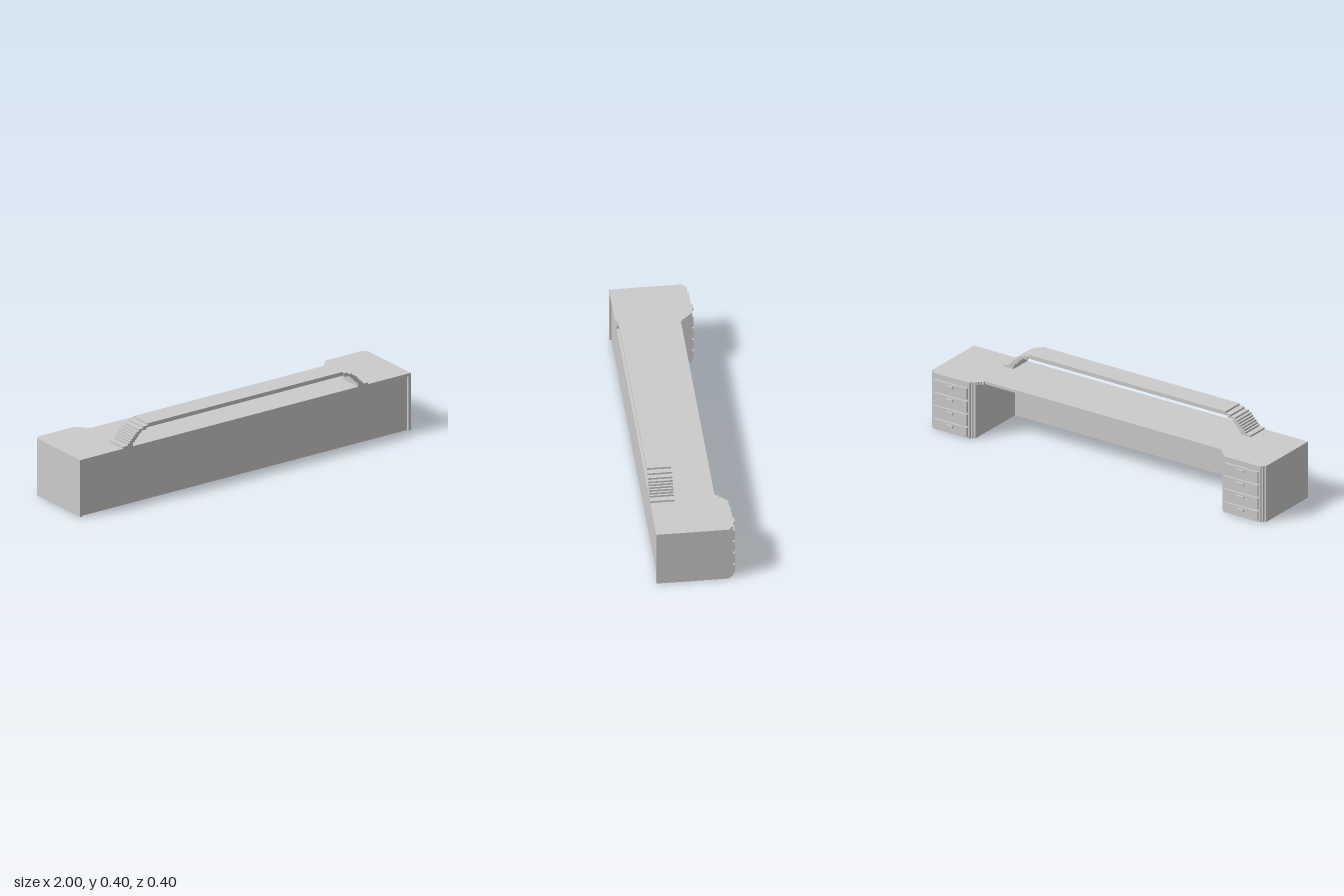
import * as THREE from 'three';

const material = new THREE.MeshStandardMaterial({ color: 0xcccccc, flatShading: true });

// Box given by its minimum and maximum corners
function box(name, x0, x1, y0, y1, z0, z1) {
  const mesh = new THREE.Mesh(new THREE.BoxGeometry(x1 - x0, y1 - y0, z1 - z0), material);
  mesh.position.set((x0 + x1) / 2, (y0 + y1) / 2, (z0 + z1) / 2);
  mesh.name = name;
  return mesh;
}

function extrude(name, points, depth) {
  const shape = new THREE.Shape(points.map(([x, y]) => new THREE.Vector2(x, y)));
  const mesh = new THREE.Mesh(new THREE.ExtrudeGeometry(shape, { depth, bevelEnabled: false }), material);
  mesh.name = name;
  return mesh;
}

// Upright prism from a plan outline of [x, z] points
function prism(name, plan, y0, y1) {
  const mesh = extrude(name, plan.map(([x, z]) => [x, -z]), y1 - y0);
  mesh.geometry.rotateX(-Math.PI / 2);
  mesh.position.y = y0;
  return mesh;
}

// Staircase of count steps from (x, z), each moving dx and then dz
function stairs(x, z, dx, dz, count) {
  const points = [[x, z]];
  for (let i = 0; i < count; i++) {
    x += dx;
    points.push([x, z]);
    z += dz;
    points.push([x, z]);
  }
  return points;
}

const mirrorX = (points) => points.map(([x, y]) => [-x, y]).reverse();

export function createModel() {
  const desk = new THREE.Group();
  desk.name = 'desk';
  const front = 0.2, panelFront = 0.19, step = 0.01;

  // Worktop with stepped corners and a set-back middle
  const halfTop = [
    [1, front],
    ...stairs(1, -0.16, -step, -step, 2),
    ...stairs(0.77, -0.18, -step, step, 6),
  ];
  desk.add(prism('worktop', [...halfTop, ...mirrorX(halfTop)], 0.285, 0.3));

  // Recessed front panel
  desk.add(box('frontPanel', -0.985, 0.985, 0, 0.285, 0.18, panelFront));

  for (const side of [1, -1]) {
    const pedestal = new THREE.Group();
    pedestal.name = side > 0 ? 'leftPedestal' : 'rightPedestal';

    // Cabinet body, with its outer wall reaching forward past the panel
    const half = [
      [0.985, panelFront - 0.005], [0.985, front], [1, front],
      ...stairs(1, -0.16, -step, -step, 2),
      ...stairs(0.77, -0.18, -step, step, 3),
      [0.74, panelFront - 0.005],
    ];
    pedestal.add(prism('cabinet', side > 0 ? half : mirrorX(half), 0, 0.285));

    // Four drawers with small handles
    const drawers = [[0.01, 0.06], [0.07, 0.13], [0.14, 0.2], [0.21, 0.27]];
    drawers.forEach(([y0, y1], i) => {
      const cx = side * 0.87, grip = 0.04 + i * 0.07;
      pedestal.add(box('drawer', cx - 0.1, cx + 0.1, y0, y1, -0.19, -0.18));
      pedestal.add(box('drawerHandle', cx - 0.02, cx + 0.02, grip, grip + 0.01, -0.2, -0.19));
    });
    desk.add(pedestal);
  }

  // Raised shelf: a bridge on stepped ramps
  const outerX = [0.74, 0.71, 0.7, 0.69, 0.68, 0.67, 0.66, 0.645, 0.62, 0.59];
  const innerX = [0.68, 0.68, 0.67, 0.66, 0.65, 0.64, 0.63, 0.6];
  const level = (i) => 0.3 + i * step;
  const outer = outerX.flatMap((x, i) => [[x, level(i)], [x, level(i + 1)]]);
  const inner = innerX.flatMap((x, i) => [[x, level(i)], [x, level(i + 1)]]).reverse();
  const halfBridge = [...inner, ...outer];
  const shelf = extrude('raisedShelf', [...halfBridge, ...mirrorX(halfBridge)], 0.12);
  shelf.position.z = 0.08;
  desk.add(shelf);

  return desk;
}
